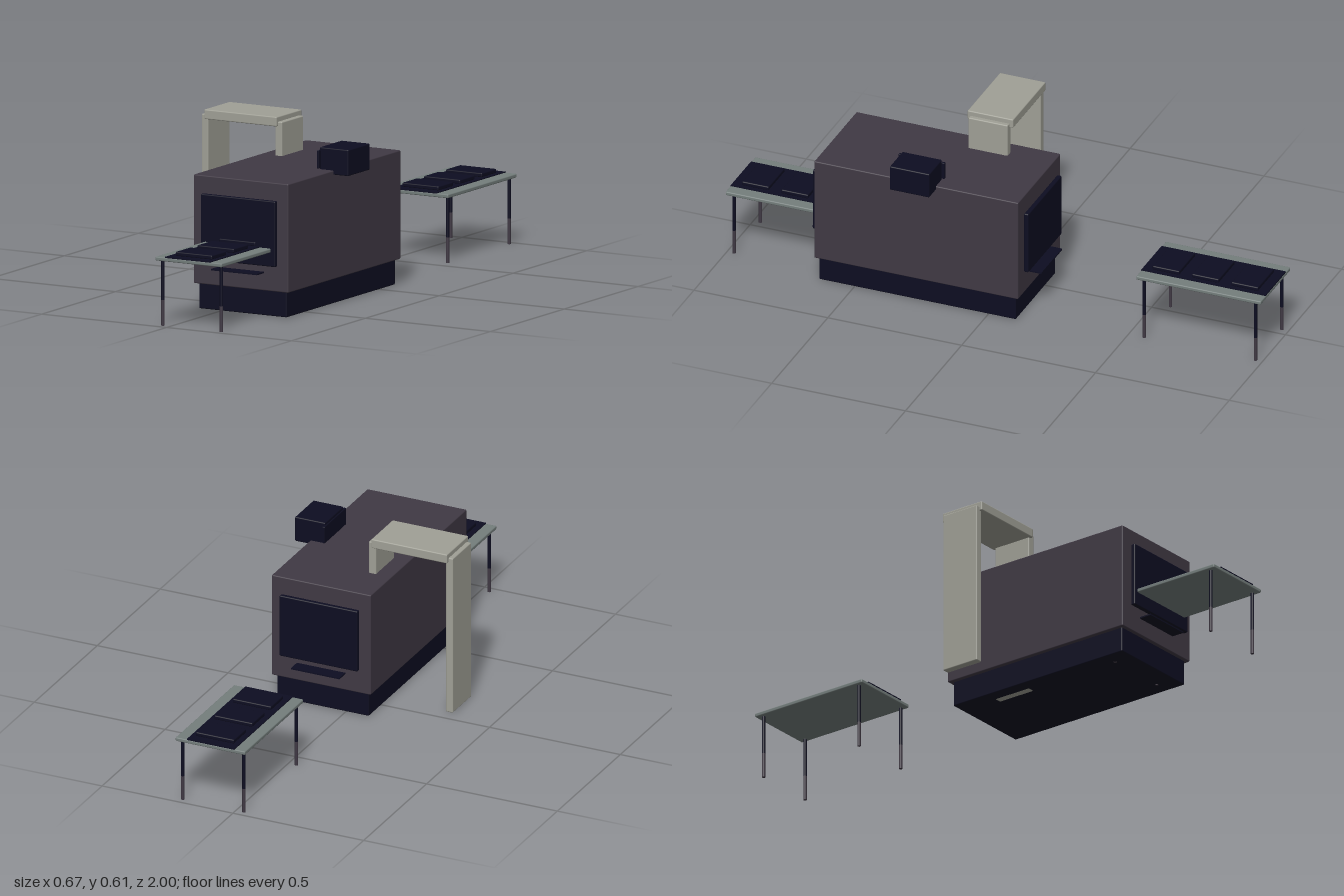
import * as THREE from 'three';
import { RoundedBoxGeometry } from 'three/addons/geometries/RoundedBoxGeometry.js';

const material = (name, color) => {
  const m = new THREE.MeshStandardMaterial({ color });
  m.name = name;
  return m;
};

export function createModel() {
  const model = new THREE.Group();
  model.name = 'conveyorScanner';
  const plum = material('plum housing', 0x403944);
  const navy = material('dark navy', 0x0d0d21);
  const duct = material('warm grey duct', 0xa0a096);
  const steel = material('steel grey', 0x747e7c);

  // Softened box given by its extents on each axis
  function box(parent, name, mat, [x0, x1], [y0, y1], [z0, z1], bevel = 0.004) {
    const w = x1 - x0, h = y1 - y0, d = z1 - z0;
    const geo = bevel
      ? new RoundedBoxGeometry(w, h, d, 2, Math.min(bevel, w / 3, h / 3, d / 3))
      : new THREE.BoxGeometry(w, h, d);
    const mesh = new THREE.Mesh(geo, mat);
    mesh.name = name;
    mesh.position.set((x0 + x1) / 2, (y0 + y1) / 2, (z0 + z1) / 2);
    parent.add(mesh);
    return mesh;
  }

  // Housing on a recessed plinth
  box(model, 'housing', plum, [-0.102, 0.277], [0.09, 0.471], [-0.117, 0.645]);
  box(model, 'plinth', navy, [-0.088, 0.263], [0.001, 0.095], [-0.103, 0.632]);

  // Opening panel and small ledge on both ends
  const midZ = 0.264;
  for (const s of [1, -1]) {
    const end = s > 0 ? 'front' : 'back';
    const zs = (a, b) => [midZ + s * a, midZ + s * b].sort((p, q) => p - q);
    box(model, end + 'Panel', navy, [-0.061, 0.237], [0.18, 0.41], zs(0.386, 0.403));
    box(model, end + 'Ledge', navy, [-0.005, 0.18], [0.151, 0.156], zs(0.375, 0.428), 0);
  }

  // Duct arch: one post outside, one running down through the housing
  const arch = new THREE.Group();
  arch.name = 'ductArch';
  model.add(arch);
  box(arch, 'outerPost', duct, [-0.338, -0.311], [0.001, 0.59], [0.045, 0.192]);
  box(arch, 'innerPost', duct, [-0.044, -0.016], [0, 0.59], [0.045, 0.192]);
  box(arch, 'crossPiece', duct, [-0.322, -0.032], [0.574, 0.608], [0.031, 0.202]);

  // Control box overhanging the top edge, with a display plate on its inner side
  box(model, 'controlBox', navy, [0.221, 0.336], [0.456, 0.548], [0.19, 0.338]);
  box(model, 'controlDisplay', navy, [0.217, 0.226], [0.475, 0.538], [0.179, 0.351], 0.002);

  // Roller tables at both ends
  for (const s of [1, -1]) {
    const table = new THREE.Group();
    table.name = s > 0 ? 'frontTable' : 'backTable';
    model.add(table);
    const zs = (c, len) => [s * c - len / 2, s * c + len / 2];
    box(table, 'tableTop', steel, [-0.046, 0.22], [0.23, 0.244], zs(0.767, 0.466));
    box(table, 'belt', navy, [-0.006, 0.176], [0.24, 0.247], zs(0.767, 0.464), 0);
    for (const c of [0.62, 0.767, 0.914]) {
      box(table, 'beltPad', navy, [0.014, 0.16], [0.246, 0.261], zs(c, 0.1));
    }
    // Two-tone legs
    for (const x of [-0.03, 0.204]) {
      for (const z of [0.558, 0.974]) {
        for (const [name, mat, y0, y1] of [['lowerLeg', plum, 0, 0.09], ['upperLeg', navy, 0.09, 0.232]]) {
          const leg = new THREE.Mesh(new THREE.CylinderGeometry(0.006, 0.006, y1 - y0, 12), mat);
          leg.name = name;
          leg.position.set(x, (y0 + y1) / 2, s * z);
          table.add(leg);
        }
      }
    }
  }
  return model;
}
